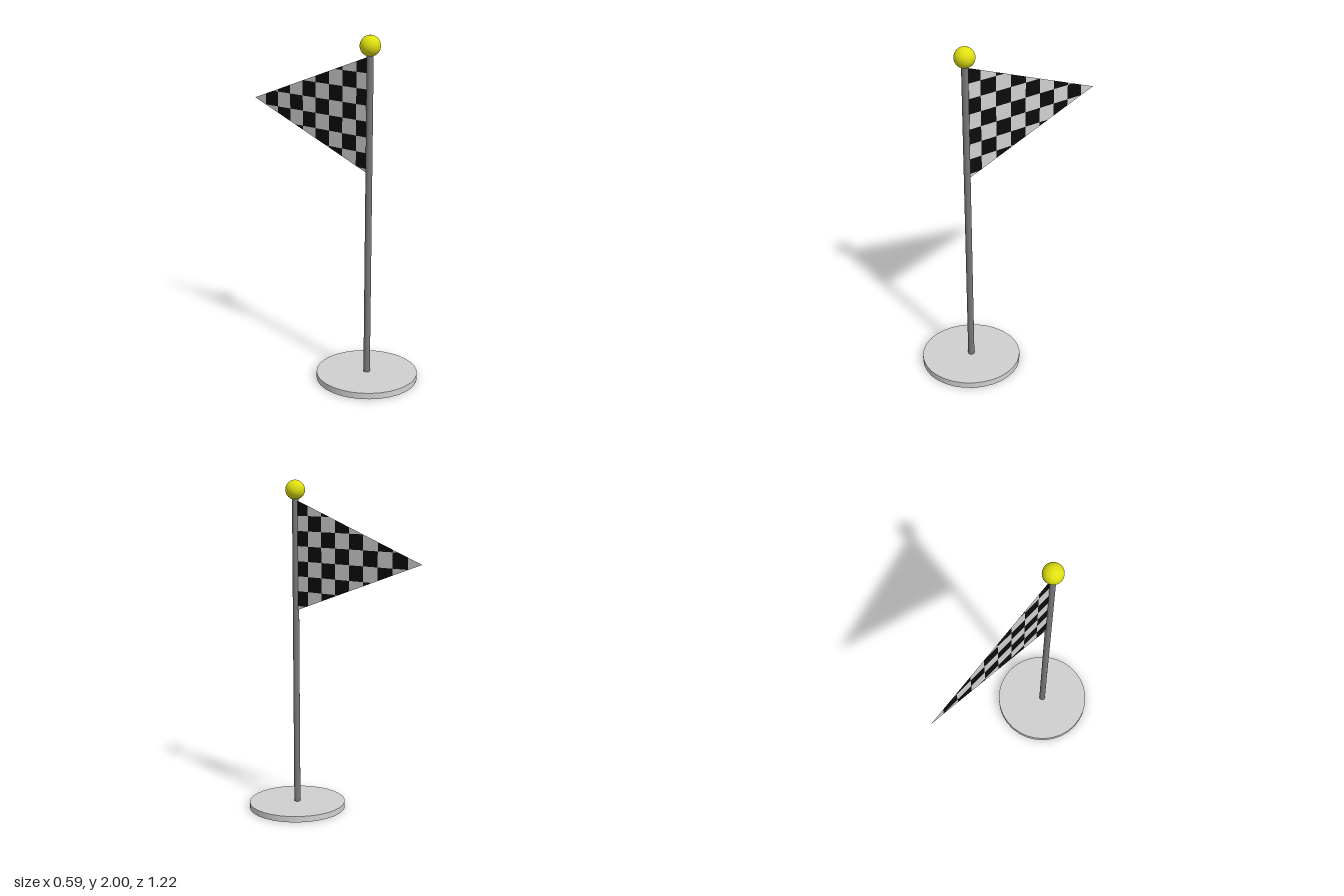
import * as THREE from 'three';

const POLE_Z = 0.315;
const paint = (name, color, extra = {}) => {
  const m = new THREE.MeshStandardMaterial({ color, ...extra });
  m.name = name;
  return m;
};

// Keep the part of a convex polygon where f(point) >= 0
function clip(poly, f) {
  const out = [];
  poly.forEach((a, i) => {
    const b = poly[(i + 1) % poly.length];
    const fa = f(a), fb = f(b);
    if (fa >= 0) out.push(a);
    if (fa * fb < 0) out.push(a.clone().lerp(b, fa / (fa - fb)));
  });
  return out;
}

// Triangular pennant divided into checks; u runs from the pole to the tip
function pennantGeometry() {
  const length = 0.92, half = 0.33, midY = 1.556;
  const cellU = 0.1037, cellV = 0.0892, firstU = 0.1, topV = 1.791 + 0.0892 - midY;
  const slope = half / length;
  const cells = [[], []];
  for (let row = -1; row < 8; row++) {
    for (let col = 0; col < 10; col++) {
      const u0 = col === 0 ? 0 : firstU + (col - 1) * cellU;
      const u1 = firstU + col * cellU;
      const v1 = topV - row * cellV, v0 = v1 - cellV;
      let poly = [[u0, v0], [u1, v0], [u1, v1], [u0, v1]].map(p => new THREE.Vector2(...p));
      poly = clip(poly, p => half - slope * p.x - p.y);
      poly = clip(poly, p => half - slope * p.x + p.y);
      for (let i = 1; i < poly.length - 1; i++) {
        for (const p of [poly[0], poly[i], poly[i + 1]]) {
          cells[(row + col + 2) % 2].push(0.002, midY + p.y, POLE_Z - p.x);
        }
      }
    }
  }
  const geo = new THREE.BufferGeometry();
  geo.setAttribute('position', new THREE.Float32BufferAttribute(cells.flat(), 3));
  const n = cells[0].length / 3;
  geo.addGroup(0, n, 0);
  geo.addGroup(n, cells[1].length / 3, 1);
  geo.computeVertexNormals();
  return geo;
}

export function createModel() {
  const model = new THREE.Group();
  model.name = 'checkeredPennant';

  const baseGrey = paint('light grey', 0xd0d0d0);
  const poleGrey = paint('pole grey', 0x787878);
  const yellow = paint('yellow', 0xe0e010);
  const black = paint('black', 0x0c0c0c, { side: THREE.DoubleSide });
  const white = paint('flag white', 0xd0d0d0, { side: THREE.DoubleSide });

  const add = (name, geo, material, y) => {
    const mesh = new THREE.Mesh(geo, material);
    mesh.name = name;
    mesh.position.set(0, y, POLE_Z);
    model.add(mesh);
    return mesh;
  };

  // Round foot, pole and finial ball
  add('base', new THREE.CylinderGeometry(0.295, 0.295, 0.036, 32), baseGrey, 0.018);
  add('pole', new THREE.CylinderGeometry(0.019, 0.019, 1.88, 24), poleGrey, 0.96);
  add('ball', new THREE.SphereGeometry(0.058, 32, 20), yellow, 1.942);

  // Flag
  const flag = new THREE.Mesh(pennantGeometry(), [black, white]);
  flag.name = 'flag';
  model.add(flag);
  return model;
}
